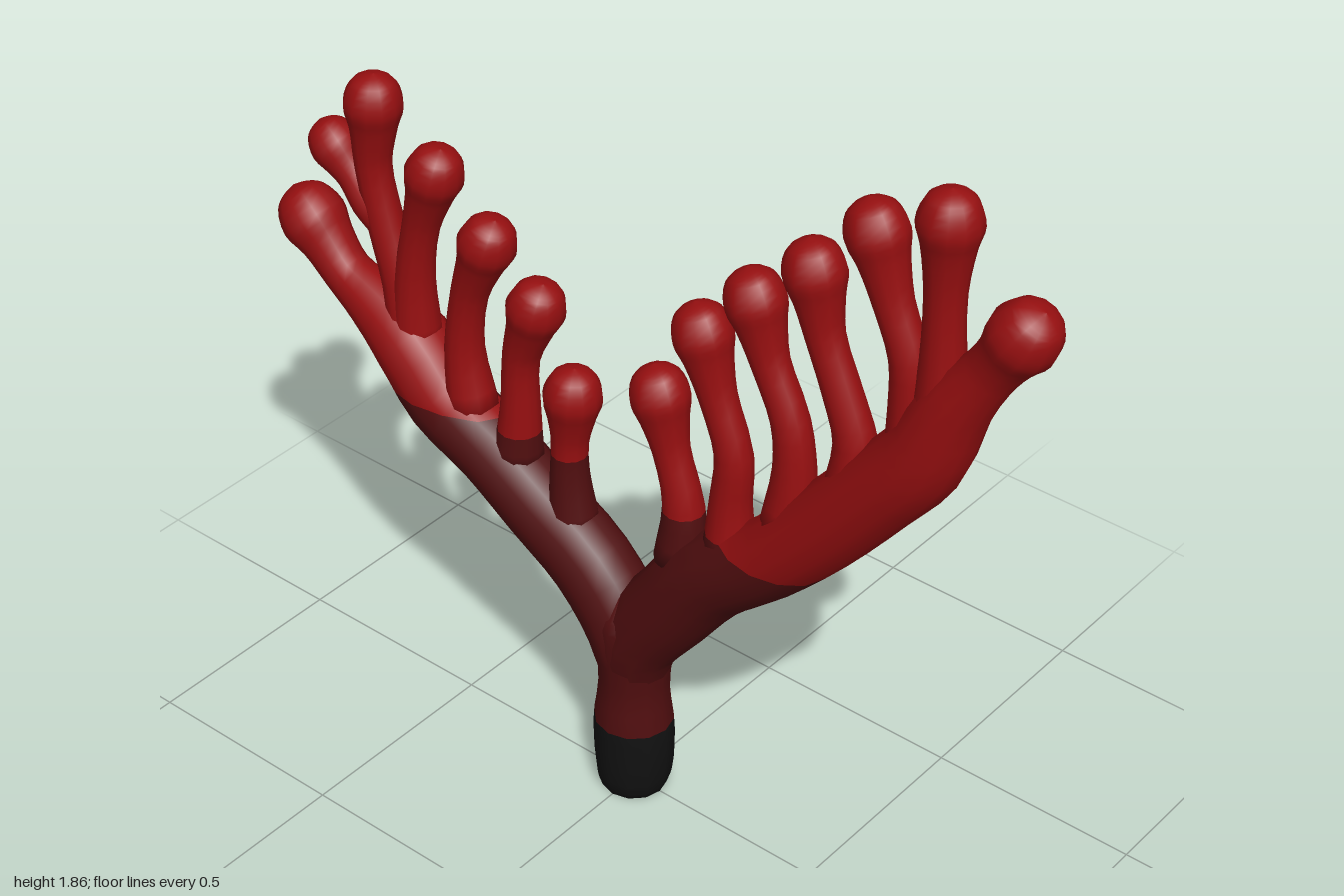
import * as THREE from 'three';

const SIDES = 12, STEPS = 3;

// Colour bands by height: [name, bottom, top, material]
const mat = (name, color) => Object.assign(new THREE.MeshStandardMaterial({ color }), { name });
const makeBands = () => [
  ['Base', -1, 0.19, mat('black', 0x111111)],
  ['Lower', 0.19, 0.83, mat('dark red', 0x500e0f)],
  ['Upper', 0.83, 9, mat('red', 0x960f10)],
];

// Round tube in the xy plane; each point is [x, y, radius]
function tube(points) {
  const curve = new THREE.CatmullRomCurve3(points.map(p => new THREE.Vector3(...p)));
  const n = (points.length - 1) * STEPS;
  const pos = [], index = [];
  const ring = (t, scale) => {
    const p = curve.getPoint(t), d = curve.getTangent(t).setZ(0).normalize();
    const r = Math.max(p.z, 0) * scale, rz = Math.min(r, 0.09 * scale);
    for (let j = 0; j < SIDES; j++) {
      const a = (j / SIDES) * Math.PI * 2, c = Math.cos(a) * r;
      pos.push(p.x + d.y * c, p.y - d.x * c, Math.sin(a) * rz);
    }
  };
  ring(0, 0);
  for (let i = 0; i <= n; i++) ring(i / n, 1);
  for (let i = 0; i <= n; i++) for (let j = 0; j < SIDES; j++) {
    const a = i * SIDES + j, b = i * SIDES + (j + 1) % SIDES;
    index.push(a, a + SIDES, b, b, a + SIDES, b + SIDES);
  }
  const g = new THREE.BufferGeometry();
  g.setAttribute('position', new THREE.Float32BufferAttribute(pos, 3));
  g.setIndex(index);
  g.computeVertexNormals();
  return g.toNonIndexed();
}

// Keep the part of a polygon above (sign 1) or below (sign -1) a height
function clip(poly, y, sign) {
  const out = [];
  poly.forEach((a, i) => {
    const b = poly[(i + 1) % poly.length];
    const da = (a[1] - y) * sign, db = (b[1] - y) * sign;
    if (da >= 0) out.push(a);
    if (da * db < 0) out.push(a.map((v, k) => v + (b[k] - v) * da / (da - db)));
  });
  return out;
}

// Cut a geometry to one height band, keeping its smooth normals
function slice(g, lo, hi) {
  const p = g.attributes.position.array, m = g.attributes.normal.array;
  const pos = [], nor = [];
  for (let i = 0; i < p.length; i += 9) {
    let poly = [0, 3, 6].map(k => [...p.slice(i + k, i + k + 3), ...m.slice(i + k, i + k + 3)]);
    poly = clip(clip(poly, lo, 1), hi, -1);
    for (let k = 1; k + 1 < poly.length; k++) {
      for (const v of [poly[0], poly[k], poly[k + 1]]) {
        pos.push(v[0], v[1], v[2]);
        nor.push(v[3], v[4], v[5]);
      }
    }
  }
  if (!pos.length) return null;
  const out = new THREE.BufferGeometry();
  out.setAttribute('position', new THREE.Float32BufferAttribute(pos, 3));
  out.setAttribute('normal', new THREE.Float32BufferAttribute(nor, 3));
  return out;
}

// Append a rounded bulb, centred at [x, y], to the end of a path
function withBulb(path, [x, y], r = 0.066) {
  const [px, py] = path[path.length - 1];
  const l = Math.hypot(x - px, y - py), dx = (x - px) / l, dy = (y - py) / l;
  const at = (s, k) => [x + dx * s * r, y + dy * s * r, k * r];
  return [...path, at(-0.75, 0.82), at(0, 1), at(0.75, 0.77), at(1.02, 0.42), at(1.14, 0)];
}

export function createModel() {
  const model = new THREE.Group();
  model.name = 'branchingCoral';
  const bands = makeBands();

  const add = (name, points) => {
    const part = new THREE.Group();
    part.name = name;
    const g = tube(points);
    for (const [band, lo, hi, material] of bands) {
      const s = slice(g, lo, hi);
      if (!s) continue;
      const mesh = new THREE.Mesh(s, material);
      mesh.name = name + band;
      part.add(mesh);
    }
    model.add(part);
  };

  // Stem
  add('trunk', [[0, 0, 0.076], [0, 0.04, 0.087], [0, 0.16, 0.094], [0, 0.28, 0.081],
    [0, 0.38, 0.087], [0, 0.47, 0.095], [0, 0.55, 0.05]]);

  // Two main limbs, each ending in a bulb
  add('leftLimb', withBulb([[0, 0.3, 0.07], [0.02, 0.43, 0.095], [0.11, 0.56, 0.1],
    [0.21, 0.69, 0.1], [0.35, 0.8, 0.09], [0.49, 0.95, 0.092], [0.63, 1.12, 0.09],
    [0.73, 1.25, 0.088], [0.79, 1.39, 0.074], [0.86, 1.5, 0.056]], [0.925, 1.605], 0.074));
  add('rightLimb', withBulb([[0, 0.3, 0.07], [-0.02, 0.43, 0.095], [-0.12, 0.56, 0.1],
    [-0.26, 0.65, 0.095], [-0.4, 0.74, 0.09], [-0.54, 0.81, 0.095], [-0.64, 0.92, 0.09],
    [-0.74, 0.98, 0.07], [-0.83, 1.025, 0.056]], [-0.925, 1.125], 0.076));

  // Fingers: path from the limb outward, the last point is the bulb centre
  const leftFingers = [
    [[0.13, 0.7], [0.135, 0.84], [0.1, 0.97], [0.07, 1.09]],
    [[0.26, 0.78], [0.26, 0.91], [0.265, 1.03], [0.22, 1.16], [0.18, 1.29]],
    [[0.41, 0.93], [0.42, 1.07], [0.405, 1.18], [0.35, 1.3], [0.31, 1.425]],
    [[0.56, 1.07], [0.565, 1.2], [0.53, 1.3], [0.48, 1.42], [0.45, 1.55]],
    [[0.7, 1.2], [0.69, 1.34], [0.68, 1.45], [0.635, 1.56], [0.59, 1.695]],
    [[0.76, 1.34], [0.755, 1.48], [0.75, 1.63], [0.75, 1.78]],
  ];
  const rightFingers = [
    [[-0.17, 0.64], [-0.18, 0.76], [-0.18, 0.86], [-0.17, 0.98]],
    [[-0.33, 0.74], [-0.32, 0.88], [-0.315, 1.02], [-0.27, 1.16]],
    [[-0.46, 0.82], [-0.48, 0.97], [-0.46, 1.12], [-0.405, 1.265]],
    [[-0.62, 0.92], [-0.62, 1.1], [-0.595, 1.24], [-0.55, 1.38]],
    [[-0.63, 0.92], [-0.66, 1.07], [-0.7, 1.2], [-0.73, 1.34], [-0.72, 1.49]],
    [[-0.7, 1.19], [-0.74, 1.24], [-0.785, 1.29], [-0.84, 1.345]],
  ];
  const addFingers = (side, list) => list.forEach((path, i) => {
    const stalk = path.slice(0, -1).map(([x, y], k) => [x, y, k === 0 ? 0.06 : k === 1 ? 0.046 : 0.042]);
    // The outermost right finger is a short twig
    const twig = side === 'right' && i === 5;
    if (twig) stalk[0][2] = 0.035;
    add(`${side}Finger${i + 1}`, withBulb(stalk, path[path.length - 1], twig ? 0.058 : 0.066));
  });
  addFingers('left', leftFingers);
  addFingers('right', rightFingers);

  return model;
}
